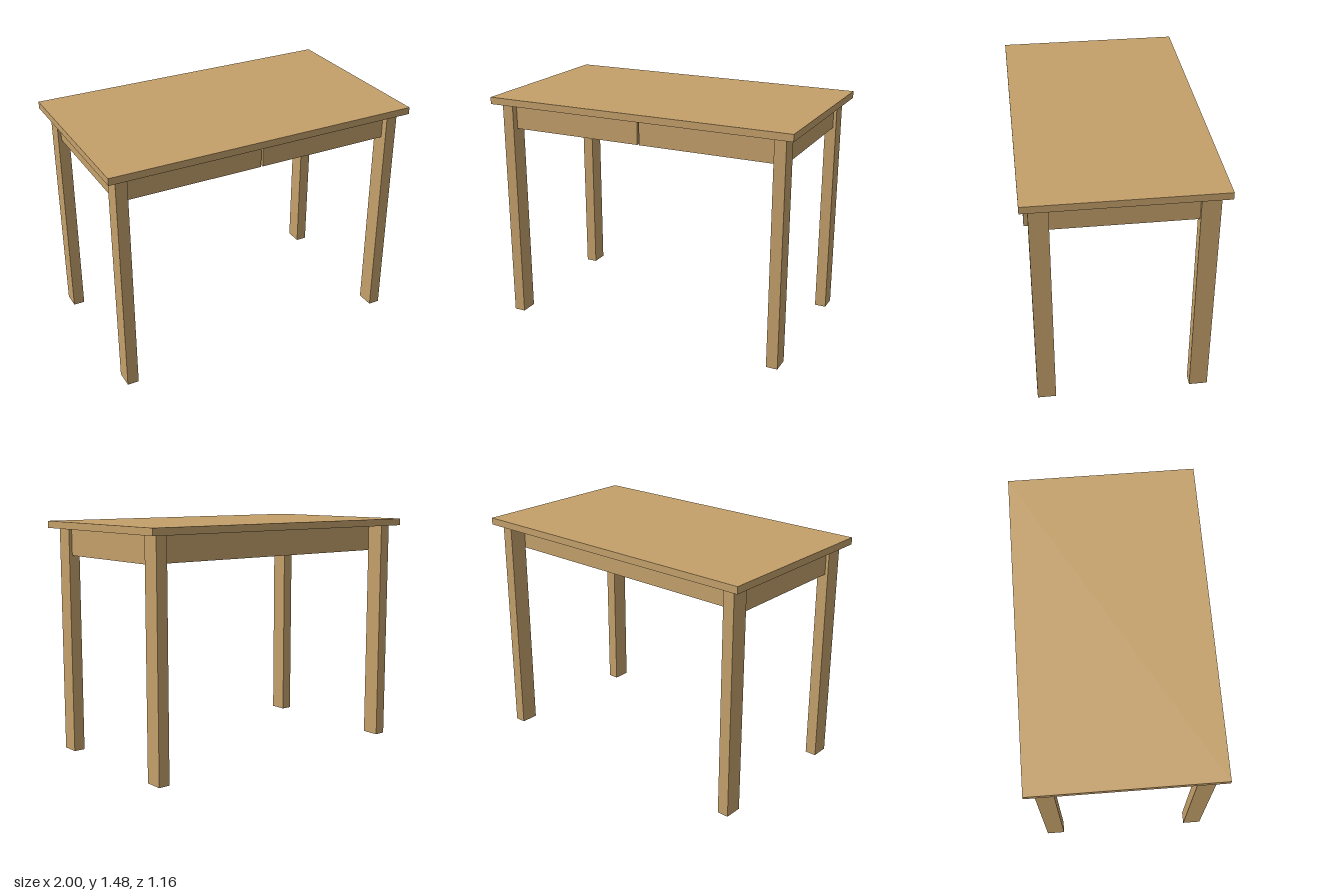
import * as THREE from 'three';

export function createModel() {
  const table = new THREE.Group();
  table.name = 'table';
  const wood = new THREE.MeshStandardMaterial({ color: 0xc4a06a });
  wood.name = 'light wood';

  // Box given by its extents on each axis
  function block(name, [x0, x1], [y0, y1], [z0, z1]) {
    const mesh = new THREE.Mesh(new THREE.BoxGeometry(x1 - x0, y1 - y0, z1 - z0), wood);
    mesh.name = name;
    mesh.position.set((x0 + x1) / 2, (y0 + y1) / 2, (z0 + z1) / 2);
    table.add(mesh);
  }

  const underTop = 1.431;

  // Tabletop
  block('tabletop', [-1, 1], [underTop, 1.475], [-0.58, 0.58]);

  // Four rectangular legs
  for (const side of [-1, 1]) {
    const x = side > 0 ? [0.872, 0.944] : [-0.944, -0.872];
    block('frontLeg', x, [0, underTop], [0.419, 0.532]);
    block('backLeg', x, [0, underTop], [-0.532, -0.419]);
  }

  // Closed drawer case between the legs, set in from their outer faces
  block('drawerCase', [-0.924, 0.924], [1.262, underTop], [-0.419, 0.419]);

  // Recessed rail behind the drawer fronts
  block('frontRail', [-0.872, 0.872], [1.278, underTop], [0.419, 0.465]);

  // Two drawer fronts with narrow gaps around them
  for (const x of [[-0.867, -0.006], [0.006, 0.867]]) {
    block('drawerFront', x, [1.267, 1.426], [0.465, 0.496]);
  }

  return table;
}
